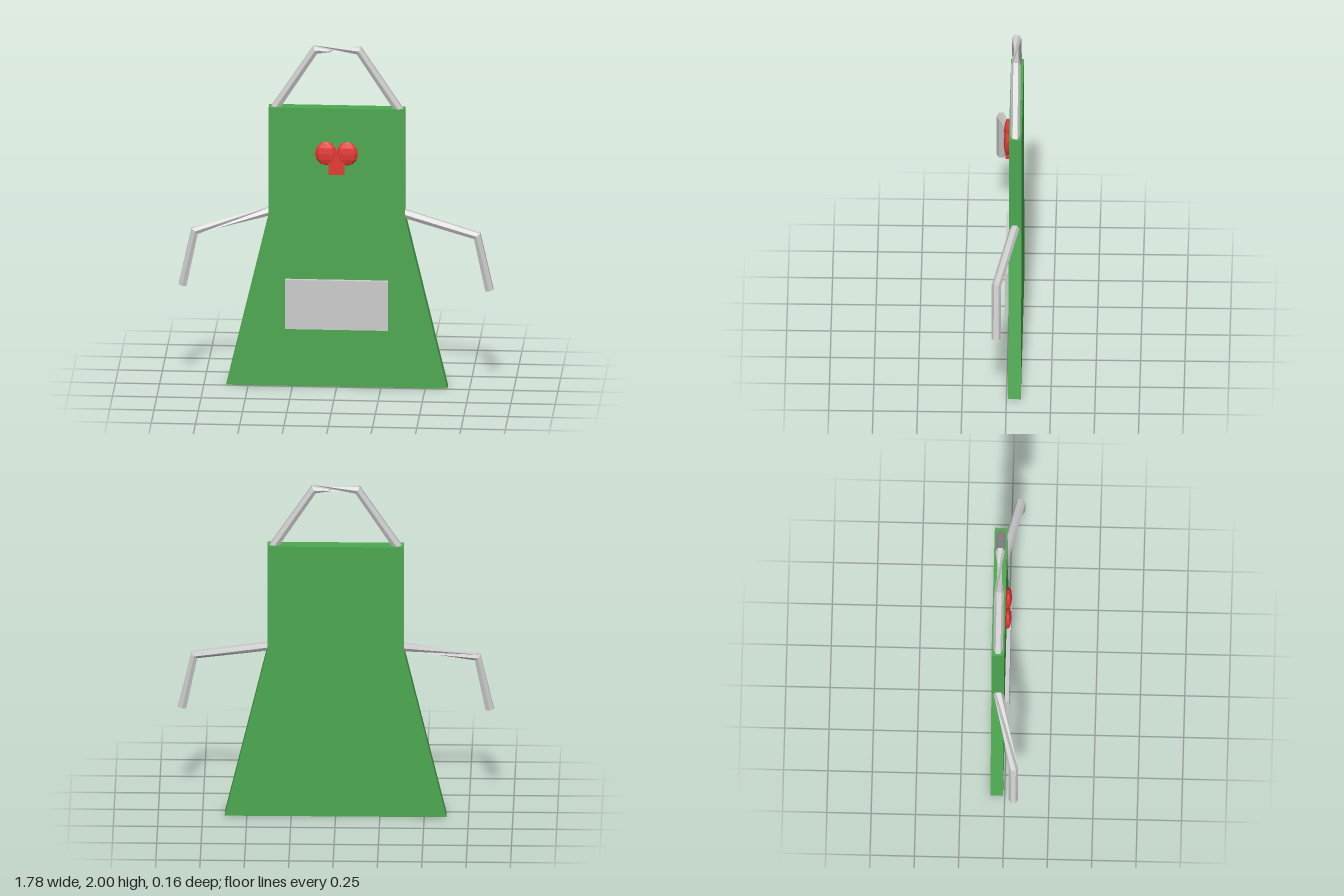
import * as THREE from 'three';

const mat = (color) => new THREE.MeshStandardMaterial({ color, flatShading: true });

function part(name, geometry, material, x = 0, y = 0, z = 0) {
  const mesh = new THREE.Mesh(geometry, material);
  mesh.name = name;
  mesh.position.set(x, y, z);
  return mesh;
}

// Six-sided strap along a bent path; twists[i] turns the ring at point i (radians)
function strapGeometry(points, radius, twists) {
  const sides = 6;
  const path = points.map((p) => new THREE.Vector3(...p));
  const pos = [];
  const index = [];
  path.forEach((p, i) => {
    const dir = new THREE.Vector3();
    if (i > 0) dir.add(path[i].clone().sub(path[i - 1]).normalize());
    if (i < path.length - 1) dir.add(path[i + 1].clone().sub(path[i]).normalize());
    dir.normalize();
    const u = new THREE.Vector3(0, 0, 1).addScaledVector(dir, -dir.z).normalize();
    const v = dir.clone().cross(u);
    for (let s = 0; s < sides; s++) {
      const a = (s / sides) * Math.PI * 2 + twists[i];
      const q = p.clone().addScaledVector(u, Math.cos(a) * radius).addScaledVector(v, Math.sin(a) * radius);
      pos.push(q.x, q.y, q.z);
    }
  });
  for (let i = 0; i < path.length - 1; i++) {
    for (let s = 0; s < sides; s++) {
      const a = i * sides + s, b = i * sides + ((s + 1) % sides);
      index.push(a, b, b + sides, a, b + sides, a + sides);
    }
  }
  // flat end caps
  const last = (path.length - 1) * sides;
  for (let s = 1; s < sides - 1; s++) {
    index.push(0, s + 1, s, last, last + s, last + s + 1);
  }
  const geo = new THREE.BufferGeometry();
  geo.setAttribute('position', new THREE.Float32BufferAttribute(pos, 3));
  geo.setIndex(index);
  const flat = geo.toNonIndexed();
  flat.computeVertexNormals();
  return flat;
}

export function createModel() {
  const group = new THREE.Group();
  const green = mat(0x4ca850);
  const grey = mat(0xcccccc);
  const red = mat(0xe53935);

  // Apron cloth: straight bib above a flared skirt
  const outline = new THREE.Shape([
    [-0.625, 0], [0.625, 0], [0.385, 1.01], [0.385, 1.64], [-0.385, 1.64], [-0.385, 1.01],
  ].map(([x, y]) => new THREE.Vector2(x, y)));
  const cloth = new THREE.ExtrudeGeometry(outline, { depth: 0.072, bevelEnabled: false });
  group.add(part('apronBody', cloth, green, 0, 0, -0.081));

  // Front pocket
  group.add(part('pocket', new THREE.BoxGeometry(0.58, 0.29, 0.03), grey, 0, 0.487, 0));

  // Neck strap, twisted along its top
  const twist = (Math.PI * 2) / 3;
  group.add(part('neckStrap', strapGeometry([
    [-0.357, 1.62, -0.044], [-0.123, 1.977, -0.044], [0.123, 1.977, -0.044], [0.357, 1.62, -0.044],
  ], 0.027, [0, 0, twist, twist]), grey));

  // Waist ties; the right one is twisted next to the cloth
  for (const side of [-1, 1]) {
    const turn = side < 0 ? twist : 0;
    group.add(part(side > 0 ? 'leftTie' : 'rightTie', strapGeometry([
      [side * 0.37, 1.023, -0.045], [side * 0.798, 0.925, 0.054], [side * 0.867, 0.606, 0.054],
    ], 0.027, [turn, 0, 0]), grey));
  }

  // Bow ornament: two faceted loops and a short tail
  const bow = new THREE.Group();
  bow.name = 'bow';
  for (const side of [-1, 1]) {
    const loop = part(side > 0 ? 'leftLoop' : 'rightLoop',
      new THREE.SphereGeometry(1, 8, 6), red, side * 0.06, 1.38, 0.004);
    loop.scale.set(0.062, 0.07, 0.021);
    bow.add(loop);
  }
  bow.add(part('bowTail', new THREE.BoxGeometry(0.09, 0.12, 0.03), red, 0, 1.317, 0));
  group.add(bow);

  return group;
}
